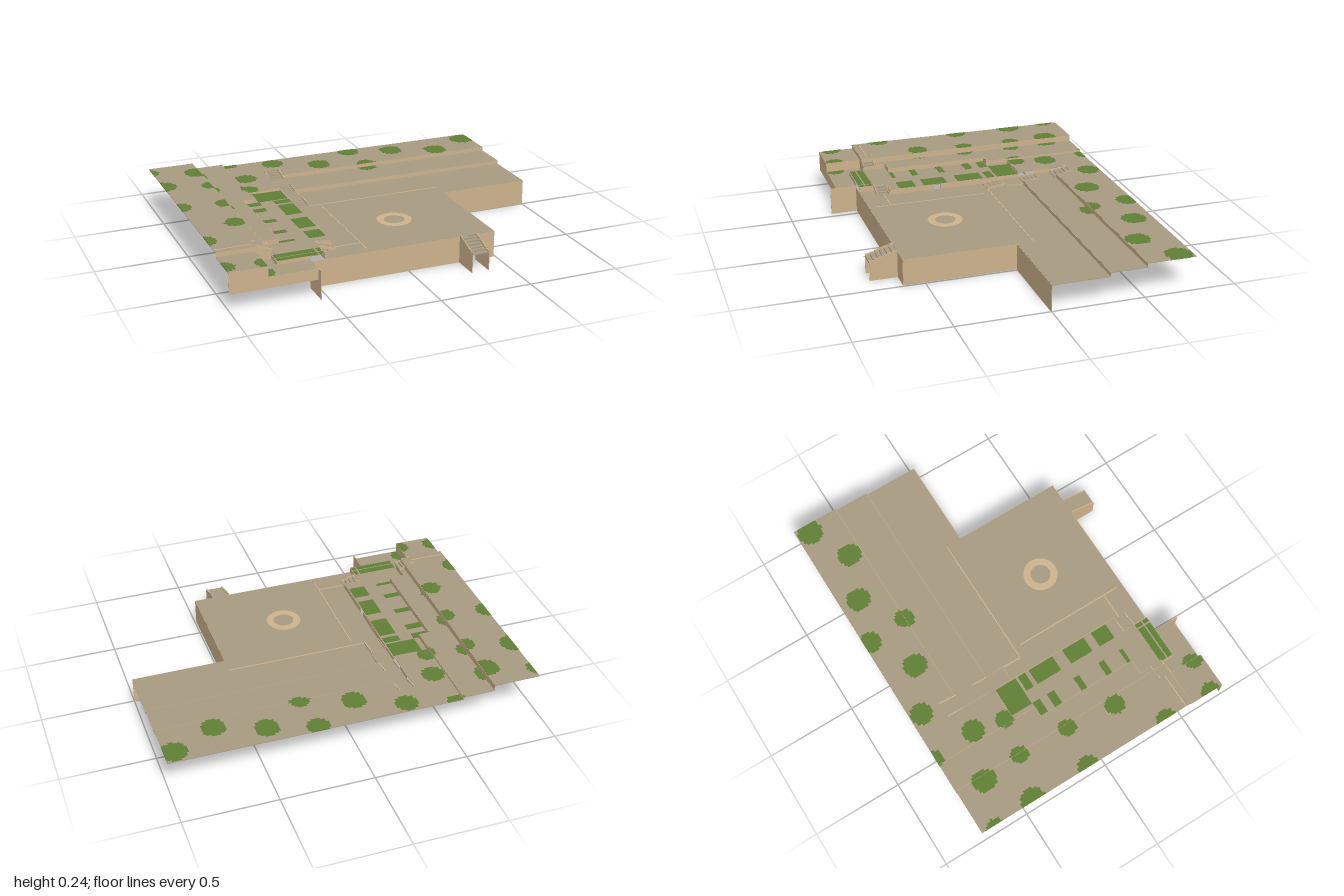
import * as THREE from 'three';
import { mergeGeometries } from 'three/addons/utils/BufferGeometryUtils.js';

const paving = new THREE.MeshStandardMaterial({ name: 'paving', color: 0xa79a82 });
const stone = new THREE.MeshStandardMaterial({ name: 'sandstone', color: 0xcdb28c });
const grass = new THREE.MeshStandardMaterial({ name: 'grass', color: 0x5f7f34 });

const T = 0.003; // thickness of the shell

// box geometry from its limits
function boxGeo(x0, x1, y0, y1, z0, z1) {
  return new THREE.BoxGeometry(x1 - x0, y1 - y0, z1 - z0)
    .translate((x0 + x1) / 2, (y0 + y1) / 2, (z0 + z1) / 2);
}

// planted discs: x, z, radius
const bushes = [
  [-0.77, -0.62, 0.065], [-1.02, -0.7, 0.055], [-1, -0.46, 0.07], [-0.75, -0.39, 0.05],
  [-1, -0.12, 0.06], [-0.76, -0.1, 0.05], [-0.79, 0.18, 0.055], [-1.01, 0.37, 0.06],
  [-0.8, 0.68, 0.05], [-1, 0.66, 0.055], [-0.505, -0.525, 0.06], [-0.53, -0.78, 0.05],
  [-0.54, -0.35, 0.05], [-0.28, -0.71, 0.06], [-0.03, -0.6, 0.065], [0.21, -0.74, 0.06],
  [0.46, -0.67, 0.065], [0.715, -0.58, 0.065], [0.95, -0.7, 0.07], [0.235, -0.51, 0.055],
];

export function createModel() {
  const model = new THREE.Group();
  const add = (name, geo, mat) => {
    const mesh = new THREE.Mesh(geo, mat);
    mesh.name = name;
    model.add(mesh);
  };

  // terraces and plaza, each a level rectangle
  const floors = [];
  const floor = (name, y, x0, x1, z0, z1) => {
    floors.push({ y, x0, x1, z0, z1 });
    add(name, boxGeo(x0, x1, y - T, y, z0, z1), paving);
  };
  floor('upperTerrace', 0.233, -1, -0.745, -0.775, 0.53);
  floor('cornerTerrace', 0.21, -1, -0.8, 0.53, 0.73);
  floor('middleTerraceBack', 0.2, -0.745, -0.57, -0.775, -0.18);
  floor('middleTerrace', 0.2, -0.745, -0.63, -0.18, 0.4);
  floor('middleTerraceFront', 0.2, -0.745, -0.715, 0.4, 0.53);
  floor('frontPlatformCorner', 0.155, -0.8, -0.715, 0.53, 0.73);
  floor('frontPlatform', 0.155, -0.715, -0.54, 0.615, 0.73);
  floor('gardenBack', 0.175, -0.57, -0.37, -0.31, -0.18);
  floor('gardenMiddle', 0.175, -0.63, -0.37, -0.18, 0.16);
  floor('gardenOpening', 0.175, -0.63, -0.374, 0.16, 0.2);
  floor('gardenFront', 0.175, -0.63, -0.37, 0.2, 0.46);
  floor('gardenCorner', 0.175, -0.715, -0.63, 0.4, 0.46);
  floor('gardenBed', 0.175, -0.715, -0.46, 0.46, 0.615);
  floor('backTerraceSide', 0.188, -0.57, -0.37, -0.775, -0.31);
  floor('backTerrace', 0.188, -0.37, 1, -0.775, -0.6);
  floor('backTerraceEdge', 0.188, -0.28, 1, -0.6, -0.51);
  floor('upperLanding', 0.166, -0.37, -0.28, -0.5, -0.4);
  floor('lowerTerrace', 0.166, -0.28, 1, -0.51, -0.31);
  floor('lowerLanding', 0.155, -0.37, -0.28, -0.31, -0.2);
  floor('courtSide', 0.145, -0.37, -0.28, -0.2, 0);
  floor('court', 0.145, -0.28, 1, -0.31, 0);
  floor('plaza', 0.145, -0.37, 0.49, 0, 0.615);
  floor('plazaSide', 0.145, -0.46, -0.37, 0.46, 0.615);

  // upright sheet along an edge, its top just under the paving
  const wall = (name, x0, x1, y0, y1, z0, z1) => {
    const dx = x1 === x0 ? T / 2 : 0, dz = z1 === z0 ? T / 2 : 0;
    add(name, boxGeo(x0 - dx, x1 + dx, y0, y1 - 0.0005, z0 - dz, z1 + dz), stone);
  };

  // retaining walls wherever two floors of different height share an edge
  for (const a of floors)
    for (const b of floors) {
      const x0 = Math.max(a.x0, b.x0), x1 = Math.min(a.x1, b.x1);
      const z0 = Math.max(a.z0, b.z0), z1 = Math.min(a.z1, b.z1);
      const low = Math.min(a.y, b.y), high = Math.max(a.y, b.y);
      if (low === high) continue;
      const sharesX = a.x1 === b.x0 && z1 > z0;
      const sharesZ = a.z1 === b.z0 && x1 > x0;
      if (sharesX || sharesZ) wall('retainingWall', x0, x1, low - T, high, z0, z1);
    }

  // outer walls
  wall('frontWall', -0.54, 0.29, 0, 0.145, 0.615, 0.615);
  wall('frontWallEnd', 0.385, 0.49, 0, 0.145, 0.615, 0.615);
  wall('plazaSideWall', 0.49, 0.49, 0, 0.145, 0, 0.615);
  wall('courtWall', 0.49, 1, 0, 0.145, 0, 0);
  wall('platformSideWall', -0.54, -0.54, 0, 0.155, 0.615, 0.765);
  wall('cornerWall', -1, -0.8, 0.095, 0.21, 0.73, 0.73);
  wall('platformWall', -0.8, -0.54, 0.095, 0.155, 0.73, 0.73);

  // flight of steps from height ya at s=a to yb at s=b, with side cheeks
  function stairs(name, axis, a, b, w0, w1, ya, yb, n = 4) {
    const parts = [], cheeks = [];
    const place = (s0, s1, p, q, y0, y1) => axis === 'z'
      ? boxGeo(p, q, y0, y1, s0, s1) : boxGeo(s0, s1, y0, y1, p, q);
    const rise = (ya - yb) / n;
    for (let i = 0; i < n; i++) {
      const s0 = a + (b - a) * i / n, s1 = a + (b - a) * (i + 1) / n;
      const y = ya - rise * (i + 0.5);
      parts.push(place(s0, s1, w0, w1, y - rise, y));
      for (const w of [w0, w1])
        cheeks.push(place(s0, s1, w - 0.003, w + 0.003, y - rise, y + 0.009));
    }
    add(name, mergeGeometries(parts), paving);
    add(name + 'Cheeks', mergeGeometries(cheeks), stone);
  }
  stairs('backStairs', 'z', -0.6, -0.5, -0.367, -0.283, 0.188, 0.166);
  stairs('middleStairs', 'z', -0.4, -0.31, -0.367, -0.283, 0.166, 0.155);
  stairs('lowerStairs', 'z', -0.2, -0.09, -0.367, -0.283, 0.155, 0.145);
  stairs('gardenStairs', 'x', -0.46, -0.37, 0.463, 0.53, 0.175, 0.145);
  stairs('terraceStairs', 'x', -0.8, -0.71, 0.463, 0.53, 0.233, 0.2);
  stairs('entranceStairs', 'z', 0.615, 0.765, 0.293, 0.382, 0.145, 0.1, 6);

  // side walls of the entrance stairs
  const fin = new THREE.Shape([[0.615, 0], [0.765, 0], [0.765, 0.095], [0.775, 0.095],
    [0.7, 0.13], [0.615, 0.155]].map(([z, y]) => new THREE.Vector2(-z, y)));
  for (const x of [0.29, 0.385]) {
    const geo = new THREE.ExtrudeGeometry(fin, { depth: T, bevelEnabled: false });
    add('entranceSideWall', geo.rotateY(Math.PI / 2).translate(x - T / 2, 0, 0), stone);
  }

  // thin kerbs
  const kerb = (x0, x1, z0, z1, y) => add('kerb', boxGeo(x0, x1, y - T, y + 0.002, z0, z1), stone);
  kerb(-0.223, -0.217, -0.05, 0.58, 0.145);
  kerb(-0.37, -0.223, 0.49, 0.496, 0.145);
  kerb(-0.28, 0.49, -0.093, -0.087, 0.145);
  kerb(-1, -0.8, 0.49, 0.496, 0.233);

  // ring in the plaza
  const ring = new THREE.Shape().absarc(0, 0, 0.095, 0, Math.PI * 2);
  ring.holes.push(new THREE.Path().absarc(0, 0, 0.055, 0, Math.PI * 2, true));
  const ringGeo = new THREE.ExtrudeGeometry(ring, { depth: 0.006, bevelEnabled: false, curveSegments: 24 });
  add('plazaRing', ringGeo.rotateX(-Math.PI / 2).translate(0.07, 0.141, 0.265), stone);

  // thin green plate seen from above and below
  const plate = (x0, x1, z0, z1, y) => boxGeo(x0, x1, y - T - 0.0015, y + 0.0015, z0, z1);

  // lawns in the garden, in two columns and a front bed
  const lawns = [plate(-0.54, -0.375, -0.305, -0.18, 0.175)];
  for (const [z0, z1] of [[-0.175, -0.13], [-0.085, -0.04], [0.085, 0.12], [0.245, 0.28], [0.38, 0.4]])
    lawns.push(plate(-0.63, -0.54, z0, z1, 0.175));
  for (const [z0, z1] of [[-0.165, -0.12], [-0.095, 0.055], [0.12, 0.257], [0.305, 0.4]])
    lawns.push(plate(-0.465, -0.375, z0, z1, 0.175));
  for (const [z0, z1] of [[0.535, 0.573], [0.582, 0.612]])
    lawns.push(plate(-0.71, -0.495, z0, z1, 0.175), plate(-0.485, -0.463, z0, z1, 0.175));
  add('gardenLawns', mergeGeometries(lawns), grass);

  // stepped discs, cut in rows and clipped to each floor
  const step = 0.012, rows = [];
  for (const [cx, cz, r] of bushes)
    for (const f of floors)
      for (let d = -r; d < r; d += step) {
        const half = Math.sqrt(Math.max(0, r * r - (d + step / 2) ** 2));
        const w = Math.round(half / step) * step;
        const x0 = Math.max(f.x0, cx - w), x1 = Math.min(f.x1, cx + w);
        const z0 = Math.max(f.z0, cz + d), z1 = Math.min(f.z1, cz + d + step);
        if (x1 - x0 > 0.001 && z1 - z0 > 0.001) rows.push(plate(x0, x1, z0, z1, f.y));
      }
  add('bushPatches', mergeGeometries(rows), grass);

  return model;
}
